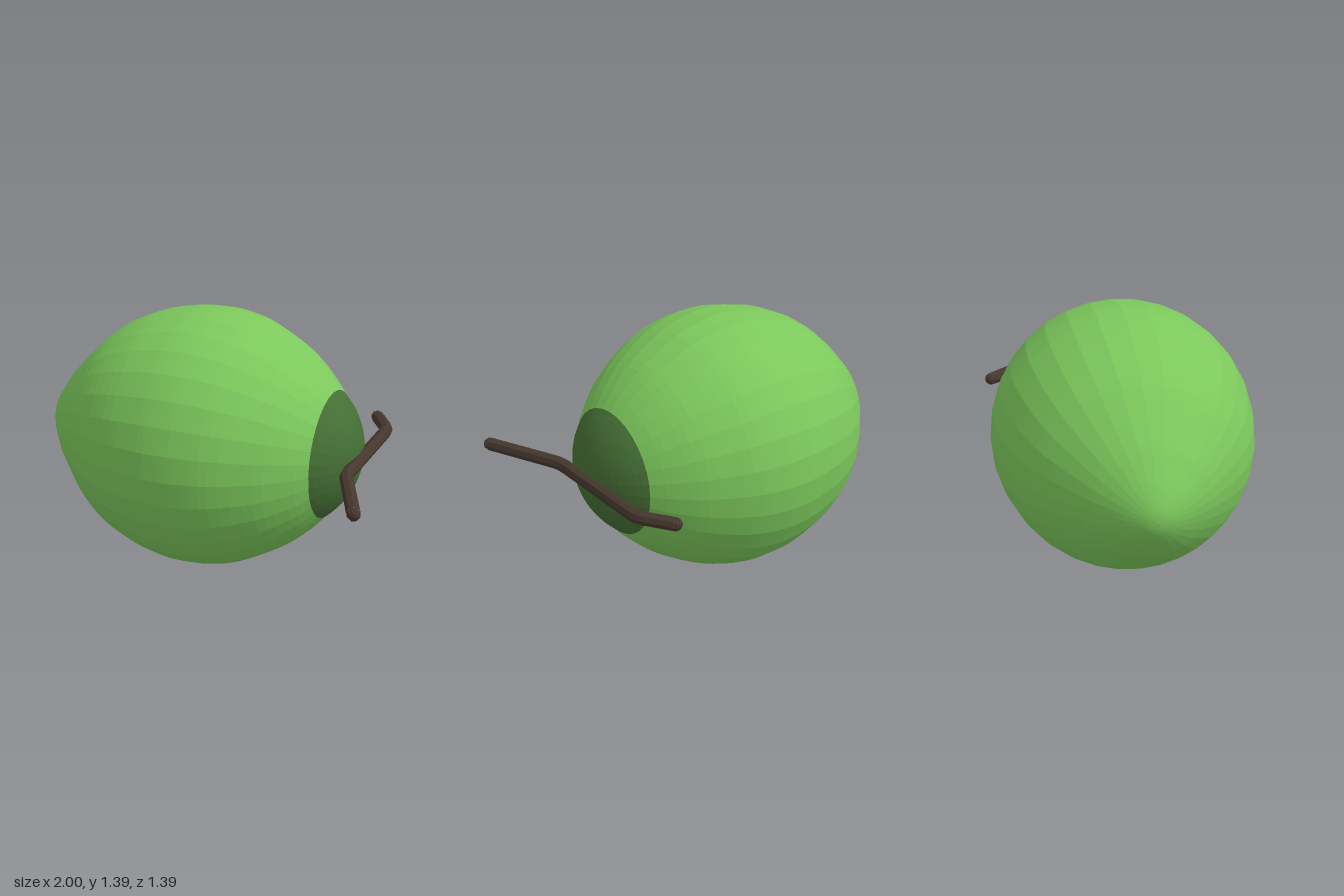
import * as THREE from 'three';

const AXIS_Y = 0.698;

// Lathe turned about the x axis from [x, radius] profile points
function turned(name, points, material) {
  const profile = points.map(([x, r]) => new THREE.Vector2(Math.max(r, 0), x));
  const geometry = new THREE.LatheGeometry(profile, 32);
  geometry.rotateZ(-Math.PI / 2);
  const mesh = new THREE.Mesh(geometry, material);
  mesh.name = name;
  mesh.position.y = AXIS_Y;
  return mesh;
}

export function createModel() {
  const group = new THREE.Group();
  group.name = 'fruit';
  const paint = (color) => new THREE.MeshStandardMaterial({ color, flatShading: true });
  const skin = paint(0x7cc85c);
  const darkSkin = paint(0x456f35);
  const wood = paint(0x45372d);

  // Body: pointed at -x, full in the middle, narrowing to the cap
  const outline = new THREE.SplineCurve([
    [-1, 0], [-0.988, 0.065], [-0.942, 0.155], [-0.873, 0.25], [-0.8, 0.338],
    [-0.6, 0.53], [-0.4, 0.637], [-0.2, 0.687], [-0.08, 0.697], [0.04, 0.688],
    [0.2, 0.646], [0.4, 0.541], [0.54, 0.426], [0.62, 0.338],
  ].map(([x, r]) => new THREE.Vector2(x, r)));
  const bodyPoints = outline.getPoints(52).map((p) => [p.x, p.y]);
  group.add(turned('body', bodyPoints, skin));

  // Cap: shallow dome closing the +x end
  const capPoints = [];
  const domeRadius = 0.437;
  const domeAngle = Math.asin(0.338 / domeRadius);
  for (let i = 0; i <= 12; i++) {
    const a = domeAngle * (1 - i / 12);
    capPoints.push([0.78 - domeRadius * (1 - Math.cos(a)), domeRadius * Math.sin(a)]);
  }
  group.add(turned('cap', capPoints, darkSkin));

  // Twig: bent stick with softened corners and rounded tips
  const stick = new THREE.Group();
  stick.name = 'twig';
  const radius = 0.035;
  const knots = [[0.673, -0.622], [0.782, -0.455], [0.782, 0.235], [0.963, 0.65]]
    .map(([x, z]) => new THREE.Vector3(x, AXIS_Y, z));
  const path = new THREE.CurvePath();
  let from = knots[0];
  for (let i = 1; i < knots.length - 1; i++) {
    const toward = (other) => knots[i].clone().add(
      other.clone().sub(knots[i]).setLength(0.05));
    const before = toward(knots[i - 1]);
    const after = toward(knots[i + 1]);
    path.add(new THREE.LineCurve3(from, before));
    path.add(new THREE.QuadraticBezierCurve3(before, knots[i], after));
    from = after;
  }
  path.add(new THREE.LineCurve3(from, knots[3]));
  const shaft = new THREE.Mesh(new THREE.TubeGeometry(path, 60, radius, 8), wood);
  shaft.name = 'twigShaft';
  stick.add(shaft);

  for (const [end, inner] of [[knots[0], knots[1]], [knots[3], knots[2]]]) {
    const tip = new THREE.Mesh(
      new THREE.SphereGeometry(radius, 8, 3, 0, Math.PI * 2, 0, Math.PI / 2), wood);
    tip.name = 'twigTip';
    tip.position.copy(end);
    tip.quaternion.setFromUnitVectors(
      new THREE.Vector3(0, 1, 0), end.clone().sub(inner).normalize());
    stick.add(tip);
  }
  group.add(stick);
  return group;
}
